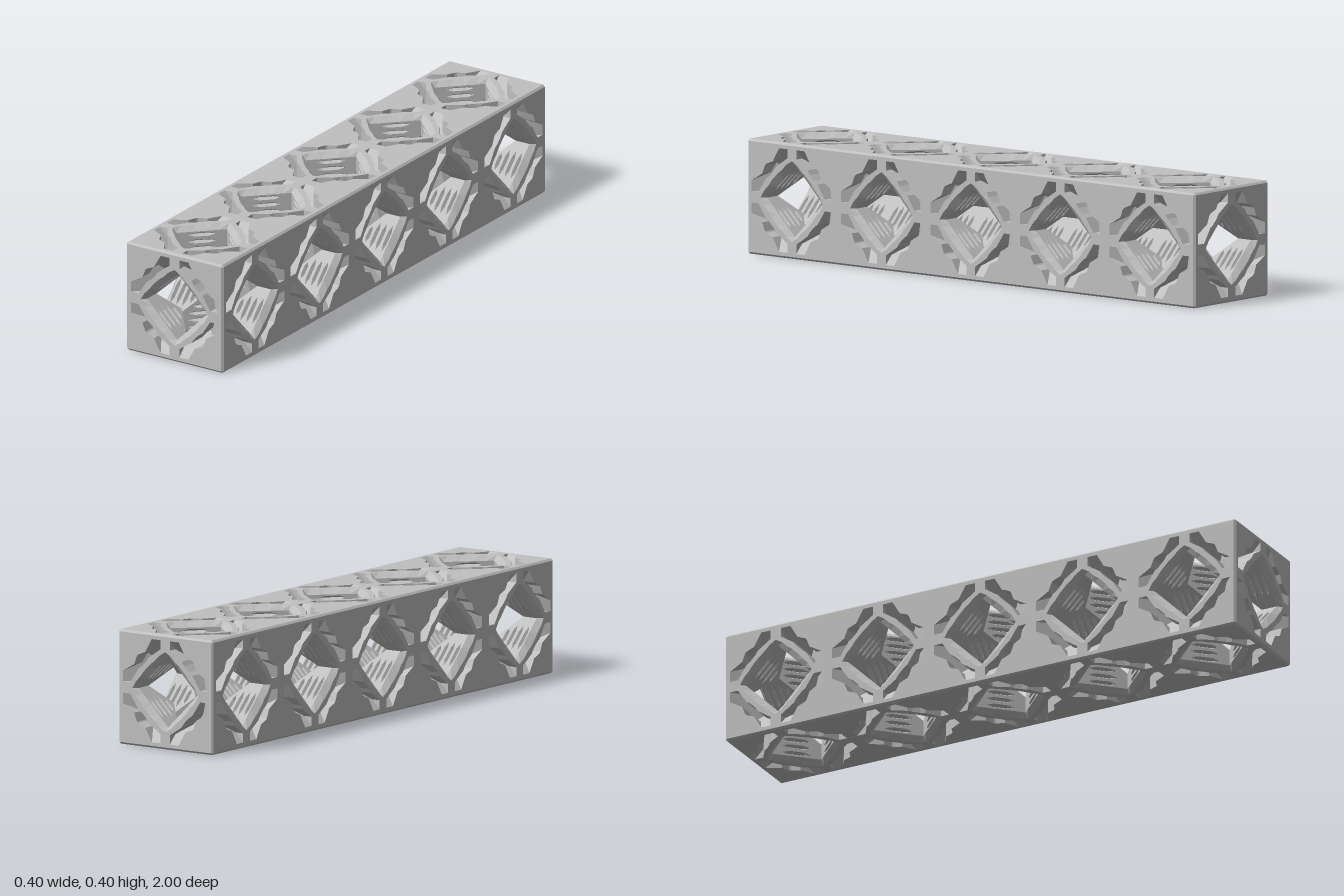
import * as THREE from 'three';

const HALF = 0.2, BEVEL = 0.007, PITCH = 0.4, CELLS = 5;
const R = 0.125;          // diamond tunnel: |x| + |y| = R
const FLARE_Z = 0.182;    // where the flared mouth meets the tunnel
const V2 = (x, y) => new THREE.Vector2(x, y);
const V3 = (x, y, z) => new THREE.Vector3(x, y, z);

// One quarter of the wavy tunnel mouth
const MOUTH = [[0.14, 0], [0.125, 0.025], [0.105, 0.045], [0.09, 0.065],
  [0.065, 0.09], [0.045, 0.105], [0.025, 0.125], [0, 0.14]];
// Half of one zigzag pocket (the other half mirrors across x = y)
const POCKET = [[0.09, 0.09], [0.08, 0.1], [0.07, 0.115], [0.02, 0.148], [0.02, 0.18],
  [0.057, 0.18], [0.085, 0.132], [0.115, 0.12], [0.1175, 0.1175]];
const swap = ([x, y]) => [y, x];
const turn = ([x, y], q) => q === 0 ? [x, y] : turn([-y, x], q - 1);

// Collects flat triangles, each turned to face its outward hint
class Facets {
  constructor() { this.data = []; }
  tri(a, b, c, out) {
    const n = b.clone().sub(a).cross(c.clone().sub(a));
    if (n.length() < 1e-9) return;
    const order = n.dot(out) >= 0 ? [a, b, c] : [a, c, b];
    order.forEach(p => this.data.push(p.x, p.y, p.z));
  }
  quad(a, b, c, d, out) { this.tri(a, b, c, out); this.tri(a, c, d, out); }
  // 2D outline with holes, lifted into space
  sheet(outline, holes, lift, out) {
    const all = [outline, ...holes].flat();
    const toV = list => list.map(p => V2(...p));
    for (const f of THREE.ShapeUtils.triangulateShape(toV(outline), holes.map(toV)))
      this.tri(...f.map(i => lift(...all[i])), out);
  }
  geometry() {
    const g = new THREE.BufferGeometry();
    g.setAttribute('position', new THREE.Float32BufferAttribute(this.data, 3));
    g.computeVertexNormals();
    return g;
  }
}

// Copies a quarter four times around the z axis
function around(build) {
  const f = new Facets();
  build(f);
  const quarter = f.data.slice();
  for (let q = 1; q < 4; q++)
    for (let i = 0; i < quarter.length; i += 3)
      f.data.push(...turn([quarter[i], quarter[i + 1]], q), quarter[i + 2]);
  return f.geometry();
}

// Flat skin with mouth and pocket openings for each cell centre
function skinGeometry(halfLength, centres) {
  const f = new Facets(), w = HALF - BEVEL, holes = [];
  for (const cx of centres) {
    const move = ([x, y]) => [x + cx, y];
    const mouth = [];
    for (let q = 0; q < 4; q++) {
      mouth.push(...MOUTH.slice(0, -1).map(p => move(turn(p, q))));
      const loop = [...POCKET, ...POCKET.slice(1, -1).reverse().map(swap)];
      holes.push(loop.map(p => move(turn(p, q))));
    }
    holes.push(mouth);
  }
  f.sheet([[-halfLength, -w], [halfLength, -w], [halfLength, w], [-halfLength, w]],
    holes, (x, y) => V3(x, y, HALF), V3(0, 0, 1));
  return f.geometry();
}

// Zigzag pockets with two 45 degree ramps meeting in a valley
function pocketGeometry() {
  return around(f => {
    for (const mirrored of [false, true]) {
      const map = mirrored ? swap : p => p;
      const floor = (x, y) => V3(x, y, 0.02 + Math.max(x, y));
      f.sheet(POCKET.map(map), [], floor, V3(0, 0, 1));
      for (let i = 0; i < POCKET.length - 1; i++) {
        const a = POCKET[i], b = POCKET[i + 1];
        const n = map([b[1] - a[1], a[0] - b[0]]);
        const p = map(a), q = map(b);
        f.quad(V3(...p, HALF), V3(...q, HALF), floor(...q), floor(...p), V3(...n, 0));
      }
    }
  });
}

// Sloped rim from the wavy mouth down to the diamond tunnel
function rimGeometry() {
  const inner = ([x, y]) => V3(x * R / (x + y), y * R / (x + y), FLARE_Z);
  return around(f => {
    for (let i = 0; i < MOUTH.length - 1; i++) {
      const a = MOUTH[i], b = MOUTH[i + 1];
      f.quad(V3(...a, HALF), V3(...b, HALF), inner(b), inner(a), V3(-0.3, -0.3, 1));
    }
  });
}

// Tunnel walls from the crossing of the three tunnels outward, with lens grooves
function tunnelGeometry(top) {
  const k = Math.SQRT1_2, e = R * k;
  const at = (s, t, d = 0) => V3(R / 2 + (s + d) * k, R / 2 + (d - s) * k, t);
  const toAxis = V3(-1, -1, 0);
  return around(f => {
    const lenses = [[0.095, 0.032], [0.12, 0.05], [0.145, 0.05], [0.17, 0.05]].map(([t, l]) =>
      [[-l, t], [-l / 2, t - 0.007], [l / 2, t - 0.007], [l, t], [l / 2, t + 0.007], [-l / 2, t + 0.007]]);
    f.sheet([[-e, R], [0, R / 2], [e, R], [e, top], [-e, top]], lenses, (s, t) => at(s, t), toAxis);
    for (const lens of lenses) {
      const p = lens.map(([s, t]) => at(s, t));
      const [l, t] = lens[3];
      const r0 = at(-l / 2, t, 0.012), r1 = at(l / 2, t, 0.012);
      f.quad(p[1], p[2], r1, r0, toAxis);
      f.quad(p[5], p[4], r1, r0, toAxis);
      f.tri(p[0], p[1], r0, toAxis);
      f.tri(p[0], p[5], r0, toAxis);
      f.tri(p[3], p[2], r1, toAxis);
      f.tri(p[3], p[4], r1, toAxis);
    }
  });
}

// Bevelled edges and corners of the whole beam
function bevelGeometry() {
  const f = new Facets(), size = [HALF, HALF, 1], signs = [-1, 1];
  const point = (axis, sg) => V3(...size.map((h, i) => sg[i] * (i === axis ? h : h - BEVEL)));
  for (let along = 0; along < 3; along++) {
    const a = (along + 1) % 3, b = (along + 2) % 3;
    for (const sa of signs) for (const sb of signs) {
      const sg = v => { const s = [0, 0, 0]; s[along] = v; s[a] = sa; s[b] = sb; return s; };
      f.quad(point(a, sg(-1)), point(a, sg(1)), point(b, sg(1)), point(b, sg(-1)), V3(...sg(0)));
    }
  }
  for (const x of signs) for (const y of signs) for (const z of signs)
    f.tri(...[0, 1, 2].map(i => point(i, [x, y, z])), V3(x, y, z));
  return f.geometry();
}

export function createModel() {
  const model = new THREE.Group();
  model.name = 'latticeBeam';
  const grey = new THREE.MeshStandardMaterial({ color: 0xc0c0c0 });
  grey.name = 'grey plastic';
  const beam = new THREE.Group();
  beam.name = 'beam';
  beam.position.y = HALF;
  model.add(beam);
  const add = (parent, name, geometry, x = 0, z = 0) => {
    const mesh = new THREE.Mesh(geometry, grey);
    mesh.name = name;
    mesh.position.set(x, 0, z);
    parent.add(mesh);
    return mesh;
  };

  const centres = Array.from({ length: CELLS }, (_, i) => (i - (CELLS - 1) / 2) * PITCH);
  const sideSkin = skinGeometry(1 - BEVEL, centres), endSkin = skinGeometry(HALF - BEVEL, [0]);
  const pockets = pocketGeometry(), rim = rimGeometry();
  const openTunnel = tunnelGeometry(FLARE_Z), joinedTunnel = tunnelGeometry(HALF);
  const addOpening = (parent, x, z) => {
    add(parent, 'pockets', pockets, x, z);
    add(parent, 'mouthRim', rim, x, z);
    add(parent, 'tunnelWalls', openTunnel, x, z);
  };

  // Four long sides
  for (let k = 0; k < 4; k++) {
    const side = new THREE.Group();
    side.name = 'longSide';
    side.rotation.set(0, Math.PI / 2, k * Math.PI / 2, 'ZYX');
    add(side, 'sideSkin', sideSkin);
    centres.forEach(x => addOpening(side, x, 0));
    beam.add(side);
  }

  // Two ends and the lengthwise tunnel between cells
  for (const turned of [0, 1]) {
    const end = new THREE.Group();
    end.name = turned ? 'backEnd' : 'frontEnd';
    end.rotation.y = turned * Math.PI;
    const last = centres[CELLS - 1];
    add(end, 'endSkin', endSkin, 0, last);
    addOpening(end, 0, last);
    centres.slice(0, -1).forEach(z => add(end, 'lengthwiseTunnel', joinedTunnel, 0, z));
    beam.add(end);
  }
  add(beam, 'bevels', bevelGeometry());

  // Small crescent orientation mark on the front
  const crescent = new THREE.Shape();
  crescent.moveTo(-0.122, -0.026);
  crescent.quadraticCurveTo(-0.084, 0, -0.122, 0.026);
  crescent.quadraticCurveTo(-0.098, 0, -0.122, -0.026);
  const mark = add(beam, 'crescentMark', new THREE.ShapeGeometry(crescent, 8));
  mark.position.set(0, 0.16, 1.0005);
  return model;
}
